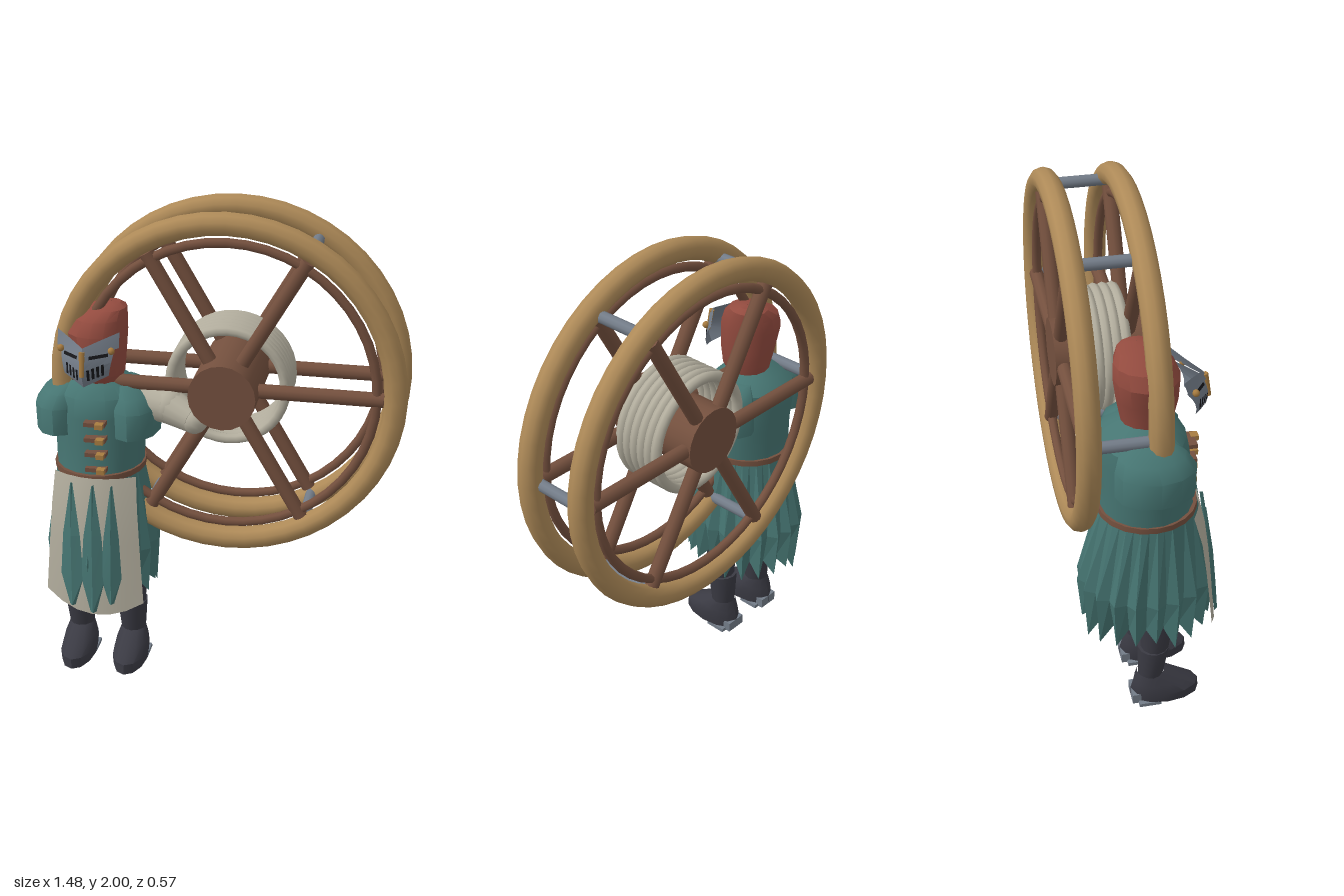
import * as THREE from 'three';
import { toCreasedNormals } from 'three/addons/utils/BufferGeometryUtils.js';

const mat = (name, color, side = THREE.FrontSide) => {
  const m = new THREE.MeshStandardMaterial({ color, side });
  m.name = name;
  return m;
};

// Indexed grid of rows x cols points turned into a creased surface
function grid(points, rows, cols, closed, crease) {
  const index = [];
  for (let i = 0; i < rows - 1; i++)
    for (let j = 0; j < (closed ? cols : cols - 1); j++) {
      const k = (j + 1) % cols;
      const a = i * cols + j, b = i * cols + k, c = (i + 1) * cols + k, d = (i + 1) * cols + j;
      index.push(a, b, c, a, c, d);
    }
  const g = new THREE.BufferGeometry();
  g.setAttribute('position', new THREE.Float32BufferAttribute(points, 3));
  g.setIndex(index);
  return toCreasedNormals(g, crease);
}

// Elliptical cross-sections [y, cx, cz, rx, rz], listed from bottom to top
function loft(rings, seg = 14, crease = 0.7, mod = () => [1, 0]) {
  const p = [];
  rings.forEach(([y, cx, cz, rx, rz], i) => {
    for (let j = 0; j < seg; j++) {
      const a = (j / seg) * Math.PI * 2, [s, dy] = mod(i, j);
      p.push(cx + rx * s * Math.sin(a), y + dy, cz + rz * s * Math.cos(a));
    }
  });
  return grid(p, rings.length, seg, true, crease);
}

// Surface patch f(u, v), u from -1 to 1 toward +x, v from 0 at the bottom to 1 at the top
function patch(f, nu, nv, crease = 0.5) {
  const p = [];
  for (let i = 0; i <= nv; i++)
    for (let j = 0; j <= nu; j++) p.push(...f((j / nu) * 2 - 1, i / nv));
  return grid(p, nv + 1, nu + 1, false, crease);
}

export function createModel() {
  const tan = mat('tan wood', 0xae8a58), brown = mat('brown wood', 0x74503e);
  const cream = mat('cream cloth', 0xb3ae9e, THREE.DoubleSide);
  const teal = mat('teal cloth', 0x467572, THREE.DoubleSide);
  const red = mat('red hood', 0x934b3f), dark = mat('dark leather', 0x3a3a43);
  const steel = mat('steel', 0x737c88, THREE.DoubleSide);
  const gold = mat('gold', 0xa87c40), black = mat('black', 0x16161a, THREE.DoubleSide);

  const model = new THREE.Group();
  const add = (parent, name, geo, m, x = 0, y = 0, z = 0) => {
    const mesh = new THREE.Mesh(geo, m);
    mesh.name = name;
    mesh.position.set(x, y, z);
    parent.add(mesh);
    return mesh;
  };
  const group = (name) => {
    const g = new THREE.Group();
    g.name = name;
    model.add(g);
    return g;
  };
  // Tapered rod between two points
  const rod = (parent, name, a, b, r0, r1, m, seg = 10) => {
    const A = new THREE.Vector3(...a), B = new THREE.Vector3(...b), d = B.clone().sub(A);
    const mesh = add(parent, name, new THREE.CylinderGeometry(r1, r0, d.length(), seg), m);
    mesh.position.copy(A).add(B).multiplyScalar(0.5);
    mesh.quaternion.setFromUnitVectors(new THREE.Vector3(0, 1, 0), d.normalize());
  };

  // Cable reel: two spoked wheels, crossbars, hub and coil
  const reel = group('reel');
  reel.position.set(0.032, 1.295, 0);
  const front = 0.022, back = -0.238;
  for (const z of [front, back]) {
    add(reel, 'rim', new THREE.TorusGeometry(0.66, 0.046, 10, 48), tan, 0, 0, z);
    add(reel, 'innerRim', new THREE.TorusGeometry(0.588, 0.019, 8, 48), brown, 0, 0, z);
  }
  for (let i = 0; i < 6; i++) {
    const a = (i * Math.PI) / 3, c = Math.cos(a), s = Math.sin(a);
    for (const z of [front, back])
      rod(reel, 'spoke', [0.08 * c, 0.08 * s, z], [0.615 * c, 0.615 * s, z], 0.029, 0.029, brown);
    rod(reel, 'crossbar', [0.64 * c, 0.64 * s, back], [0.64 * c, 0.64 * s, front], 0.023, 0.023, steel);
  }
  rod(reel, 'hub', [0, 0, -0.27], [0, 0, 0.124], 0.133, 0.133, brown, 20);
  for (let i = 0; i < 6; i++)
    add(reel, 'cableCoil', new THREE.TorusGeometry(0.229, 0.021, 8, 36), cream, 0, 0, -0.19 + i * 0.036);

  // Boots and legs
  const cx = -0.49;
  const legs = group('legs');
  for (const s of [-1, 1]) {
    const x = cx + s * 0.115;
    add(legs, 'foot', loft([[0.015, x, 0.06, 0.001, 0.001], [0.015, x, 0.06, 0.07, 0.14],
      [0.06, x, 0.058, 0.075, 0.138], [0.1, x, 0.03, 0.068, 0.1], [0.145, x, 0, 0.052, 0.055]], 12), dark);
    add(legs, 'bootShaft', loft([[0.13, x, 0, 0.052, 0.05], [0.285, x, 0.01, 0.066, 0.064],
      [0.285, x, 0.01, 0.01, 0.01]], 12), dark);
    add(legs, 'thigh', loft([[0.27, x, 0.015, 0.06, 0.056], [0.38, x, 0.02, 0.066, 0.064],
      [0.6, x, 0.01, 0.08, 0.08]], 12), dark);
    add(legs, 'sole', new THREE.BoxGeometry(0.13, 0.016, 0.09), steel, x, 0.008, -0.01);
    add(legs, 'heelPlate', new THREE.BoxGeometry(0.09, 0.045, 0.035), steel, x, 0.028, -0.062);
  }

  // Pleated skirt with a ragged hem
  const clothes = group('clothes');
  add(clothes, 'skirt', loft([[0.385, cx, 0, 0.215, 0.255], [0.58, cx, 0, 0.232, 0.272],
    [0.94, cx, 0.005, 0.175, 0.185]], 40, 0.1, (i, j) => {
    const fold = j % 2, step = (j * 7) % 5;
    return [1 - fold * [0.16, 0.11, 0.02][i], i === 0 ? (fold ? 0.045 : -0.012 * step) : 0];
  }), teal);

  // Front panel with folded leaves laid over it
  const panelZ = (u, v) => 0.198 + 0.077 * Math.pow(1 - v, 0.6) - 0.05 * u * u;
  add(clothes, 'frontPanel', patch((u, v) => {
    const d = 1 - v;
    return [-0.475 + u * (0.167 + 0.036 * d), 0.94 - d * (0.585 - 0.06 * u * u + 0.015 * u), panelZ(u, v)];
  }, 6, 4), cream);
  for (const [x, w, low] of [[-0.56, 0.05, 0.39], [-0.47, 0.05, 0.37], [-0.395, 0.04, 0.41]]) {
    add(clothes, 'panelFold', patch((u, v) => {
      const width = w * [0.25, 1, 0.75, 0.08][Math.round(v * 3)];
      const y = [low, 0.52, 0.7, 0.92][Math.round(v * 3)];
      const px = x + u * width;
      return [px, y, panelZ((px + 0.475) / 0.19, (y - 0.36) / 0.58) + 0.004 + (1 - Math.abs(u)) * 0.012];
    }, 2, 3, 0.1), teal);
  }

  // Tunic, belt and fasteners
  add(clothes, 'tunic', loft([[0.92, cx, 0, 0.178, 0.18], [1.06, cx, -0.01, 0.182, 0.165],
    [1.17, cx, -0.015, 0.185, 0.172], [1.25, cx, -0.02, 0.18, 0.16], [1.29, cx, -0.02, 0.13, 0.115],
    [1.32, cx, -0.01, 0.07, 0.07]], 18), teal);
  add(clothes, 'belt', loft([[0.922, cx, 0, 0.17, 0.17], [0.922, cx, 0, 0.186, 0.192],
    [0.946, cx, 0, 0.186, 0.19], [0.946, cx, 0, 0.17, 0.17]], 20), brown);
  for (const y of [0.972, 1.038, 1.102, 1.168]) {
    add(clothes, 'fastenerStrap', new THREE.BoxGeometry(0.085, 0.017, 0.045), brown, -0.462, y, 0.165);
    add(clothes, 'fastenerToggle', new THREE.BoxGeometry(0.032, 0.02, 0.03), gold, -0.44, y, 0.188);
  }

  // Short flared sleeves
  for (const s of [-1, 1]) {
    const x = cx + s * 0.15;
    add(clothes, 'sleeve', loft([[1.085, x, -0.01, 0.08, 0.11], [1.09, x, 0, 0.102, 0.15],
      [1.2, x, 0, 0.104, 0.15], [1.25, x - s * 0.015, -0.01, 0.085, 0.125],
      [1.285, x - s * 0.04, -0.02, 0.05, 0.08], [1.29, x - s * 0.04, -0.02, 0.002, 0.002]], 12), teal);
    add(clothes, 'sleeveLining', loft([[1.1, x, -0.01, 0.001, 0.001], [1.1, x, -0.01, 0.09, 0.12]], 12), cream);
  }

  // Arm reaching to the hub
  const arm = group('arm');
  rod(arm, 'upperSleeve', [-0.36, 1.21, -0.03], [-0.19, 1.205, 0.02], 0.078, 0.075, cream, 14);
  rod(arm, 'forearm', [-0.2, 1.205, 0.018], [-0.09, 1.175, 0.07], 0.075, 0.055, cream, 14);
  add(arm, 'elbow', new THREE.SphereGeometry(0.075, 14, 10), cream, -0.195, 1.205, 0.02);
  add(arm, 'hand', new THREE.SphereGeometry(0.056, 12, 8), cream, -0.085, 1.173, 0.07);

  // Hood leaning back toward the peak
  const head = group('head');
  add(head, 'hood', loft([[1.28, -0.48, -0.01, 0.08, 0.08], [1.33, -0.475, 0, 0.095, 0.1],
    [1.41, -0.48, 0, 0.108, 0.115], [1.5, -0.487, -0.005, 0.122, 0.122], [1.555, -0.475, -0.015, 0.108, 0.108],
    [1.59, -0.445, -0.025, 0.075, 0.08], [1.606, -0.43, -0.03, 0.035, 0.04],
    [1.608, -0.43, -0.03, 0.001, 0.001]], 14, 0.5), red);

  // Pointed visor, with slits that follow its surface
  const visor = (x, y, lift = 0) => {
    const t = (y - 1.34) / 0.17;
    return [x, y, 0.18 + 0.045 * Math.sin(Math.PI * Math.min(1, t * 0.85 + 0.2)) - 0.75 * Math.abs(x + 0.49) + lift];
  };
  add(head, 'visor', patch((u, v) => {
    const low = 1.335 + 0.035 * Math.abs(u), w = 0.088 + 0.02 * v;
    return visor(-0.49 + u * w, low + v * (1.475 - low));
  }, 4, 4, 0.3), steel);
  add(head, 'brow', patch((u, v) => {
    const a = Math.abs(u);
    return visor(-0.49 + u * 0.122, 1.462 + 0.01 * a + v * (0.03 + 0.028 * a), 0.012);
  }, 4, 1, 0.3), steel);
  for (const s of [-1, 1]) {
    add(head, 'eyeSlit', patch((u, v) =>
      visor(-0.49 + s * 0.055 + u * 0.032, 1.447 + v * 0.012, 0.005), 1, 1), black);
    for (let i = 0; i < 4; i++)
      add(head, 'breathSlit', patch((u, v) =>
        visor(-0.49 + s * (0.022 + i * 0.016) + u * 0.0045, 1.365 + i * 0.004 + v * 0.045, 0.005), 1, 1), black);
    add(head, 'visorHinge', new THREE.SphereGeometry(0.014, 8, 6), gold, -0.49 + s * 0.1, 1.47, 0.15);
  }
  rod(head, 'noseBar', visor(-0.49, 1.385), visor(-0.49, 1.48, 0.012), 0.009, 0.012, gold, 6);
  return model;
}
